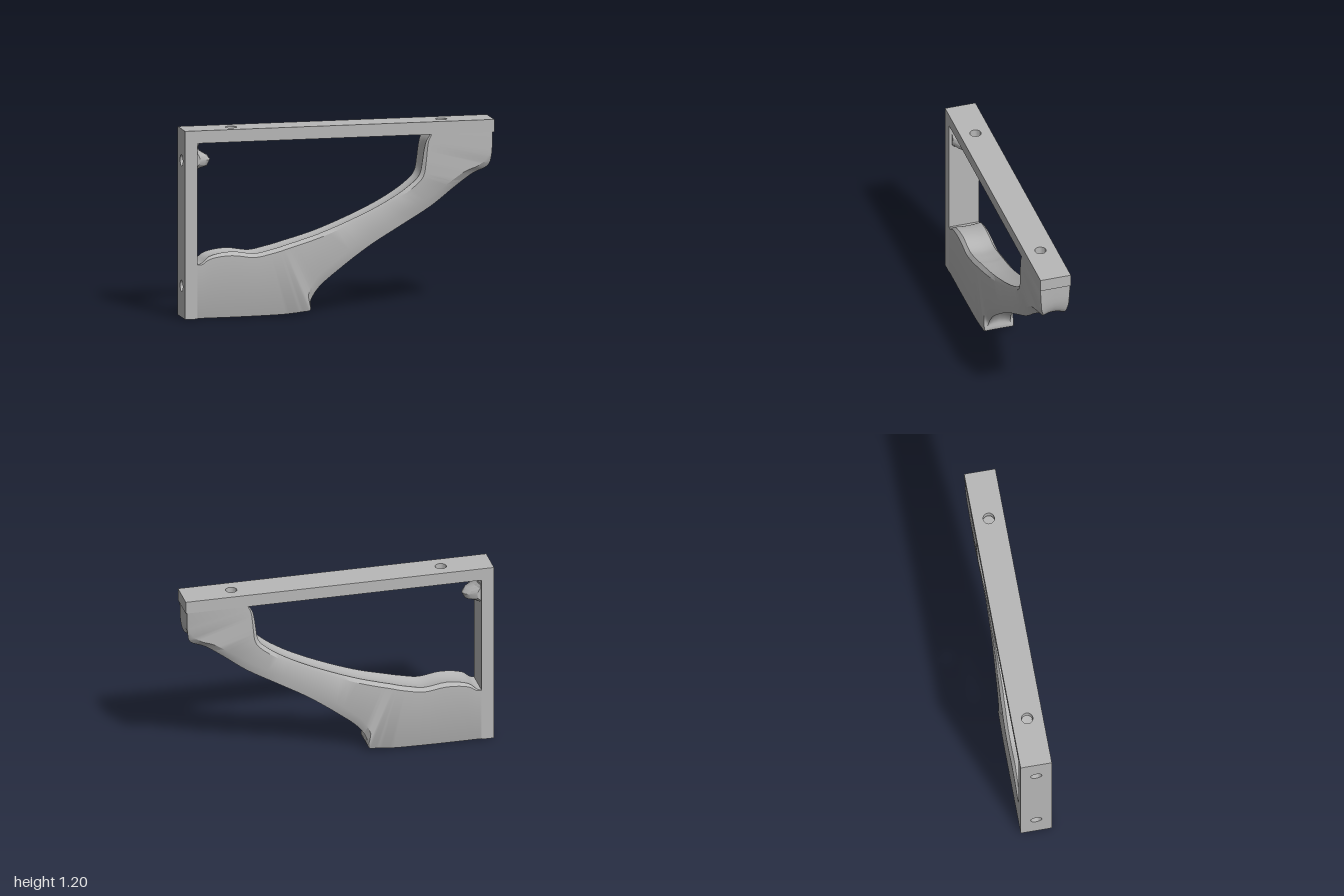
import * as THREE from 'three';
import { toCreasedNormals } from 'three/addons/utils/BufferGeometryUtils.js';

const W = 0.1; // half thickness of the bracket

// Plate of the given outline with round holes, extruded along +z
function plate(x0, x1, holes, r, depth) {
  const s = new THREE.Shape();
  s.moveTo(x0, -W).lineTo(x1, -W).lineTo(x1, W).lineTo(x0, W).closePath();
  for (const h of holes) s.holes.push(new THREE.Path().absarc(h, 0, r, 0, Math.PI * 2, true));
  return toCreasedNormals(
    new THREE.ExtrudeGeometry(s, { depth, bevelEnabled: false, curveSegments: 14 }), 0.6);
}

// Bar 0.08 thick with countersunk screw holes; its outer face is at z = 0.08
function drilledBar(name, x0, x1, holes, mat, matOpen) {
  const g = new THREE.Group();
  g.name = name;
  const inner = new THREE.Mesh(plate(x0, x1, holes, 0.062, 0.03), mat);
  const outer = new THREE.Mesh(plate(x0, x1, holes, 0.036, 0.05), mat);
  inner.name = 'innerLayer';
  outer.name = 'outerLayer';
  outer.position.z = 0.03;
  g.add(inner, outer);
  for (const h of holes) {
    const sink = new THREE.Mesh(new THREE.CylinderGeometry(0.036, 0.062, 0.03, 28, 1, true), matOpen);
    sink.name = 'countersink';
    sink.rotation.x = Math.PI / 2;
    sink.position.set(h, 0, 0.015);
    g.add(sink);
  }
  return g;
}

// Strut stations: top x, y; bottom x, y; half width; edge shaping below; edge shaping above
const STATIONS = [
  [-0.92, 0.345, -0.92, 0.004, 0.1, 0, 0],
  [-0.89, 0.355, -0.89, 0.004, 0.1, 0, 0.3],
  [-0.84, 0.395, -0.84, 0.004, 0.1, 0, 0.6],
  [-0.7, 0.42, -0.7, 0.004, 0.1, 0, 0.8],
  [-0.55, 0.402, -0.5, 0.006, 0.1, 0, 0.8],
  [-0.45, 0.42, -0.35, 0.01, 0.1, 0, 0.8],
  [-0.38, 0.437, -0.25, 0.019, 0.098, 0, 0.8],
  [-0.36, 0.443, -0.187, 0.03, 0.097, 0.05, 0.8],
  [-0.34, 0.449, -0.183, 0.08, 0.096, 0.8, 0.8],
  [-0.27, 0.468, -0.13, 0.165, 0.094, 1, 0.8],
  [-0.13, 0.51, 0, 0.275, 0.087, 1, 0.8],
  [0.1, 0.6, 0.2, 0.42, 0.078, 1, 0.8],
  [0.3, 0.695, 0.4, 0.54, 0.077, 1, 0.8],
  [0.45, 0.79, 0.6, 0.66, 0.087, 1, 0.8],
  [0.52, 0.86, 0.75, 0.775, 0.095, 1, 0.8],
  [0.54, 0.95, 0.87, 0.86, 0.098, 1, 0.7],
  [0.55, 1.02, 0.965, 0.905, 0.098, 0.9, 0.6],
  [0.565, 1.08, 0.985, 0.97, 0.098, 0.3, 0.4],
  [0.59, 1.12, 0.99, 1.12, 0.098, 0, 0.2],
];

// Loft of chamfered sections with shallow grooves along the upper and lower edges
function strutGeometry() {
  const curve = (i) => new THREE.CatmullRomCurve3(
    STATIONS.map((s) => new THREE.Vector3(s[i], s[i + 1], 0)));
  const top = curve(0), bottom = curve(2);
  const n = (STATIONS.length - 1) * 4, rings = [];
  for (let i = 0; i <= n; i++) {
    const t = i / n, k = Math.min(Math.floor(i / 4), STATIONS.length - 2), f = i / 4 - k;
    const mix = (c) => THREE.MathUtils.lerp(STATIONS[k][c], STATIONS[k + 1][c], f);
    const T = top.getPoint(t), B = bottom.getPoint(t);
    const up = T.clone().sub(B), len = up.length();
    up.normalize();
    const w = mix(4), kb = Math.max(mix(5), 0.03), kt = Math.max(mix(6), 0.03);
    const eb = w - Math.min(0.03, w - 0.066) * kb, et = w - Math.min(0.025, w - 0.066) * kt;
    const ring = [];
    const edge = (e, s, groove, dir) => {
      for (let j = -2; j <= 2; j++)
        ring.push([dir * e * j / 2, s + dir * groove * (1 - j * j / 4)]);
    };
    edge(eb, 0, 0.02 * kb, 1);
    ring.push([w, 0.06 * kb], [w, len - 0.03 * kt]);
    edge(et, len, 0.015 * kt, -1);
    ring.push([-w, len - 0.03 * kt], [-w, 0.06 * kb]);
    rings.push(ring.map(([z, s]) => [B.x + up.x * s, B.y + up.y * s, z]));
  }
  const m = rings[0].length, pos = rings.flat(2), idx = [];
  for (let i = 0; i < n; i++)
    for (let j = 0; j < m; j++) {
      const a = i * m + j, b = i * m + (j + 1) % m;
      idx.push(a, a + m, b, b, a + m, b + m);
    }
  // End caps
  for (let j = 1; j < m - 1; j++) {
    idx.push(0, j, j + 1);
    idx.push(n * m, n * m + j + 1, n * m + j);
  }
  const g = new THREE.BufferGeometry();
  g.setAttribute('position', new THREE.Float32BufferAttribute(pos, 3));
  g.setIndex(idx);
  return toCreasedNormals(g, 0.55);
}

// Rough lump around the upper screw hole, tapering towards both sides
function lumpGeometry() {
  const pts = [[-0.93, 1.125], [-0.93, 0.93], [-0.905, 0.94], [-0.88, 0.95], [-0.835, 0.962],
    [-0.815, 1], [-0.835, 1.03], [-0.885, 1.06], [-0.902, 1.085], [-0.885, 1.125]];
  const g = new THREE.ExtrudeGeometry(new THREE.Shape(pts.map((p) => new THREE.Vector2(...p))),
    { depth: 0.16, steps: 6, bevelEnabled: false });
  const p = g.attributes.position;
  for (let i = 0; i < p.count; i++) {
    const z = p.getZ(i) - 0.08, k = 1 - 0.75 * (z / 0.08) ** 2;
    p.setXYZ(i, -0.925 + (p.getX(i) + 0.925) * k, 1.03 + (p.getY(i) - 1.03) * (0.6 + 0.4 * k), z);
  }
  return toCreasedNormals(g, 0.5);
}

export function createModel() {
  const model = new THREE.Group();
  model.name = 'shelfBracket';
  const grey = new THREE.MeshStandardMaterial({ color: 0xb8b8b8 });
  grey.name = 'grey';
  const greyOpen = grey.clone();
  greyOpen.side = THREE.DoubleSide;

  // Shelf bar on top, outer face up
  const shelf = drilledBar('shelfBar', -1, 1, [-0.68, 0.68], grey, greyOpen);
  shelf.rotation.x = -Math.PI / 2;
  shelf.position.y = 1.12;

  // Wall bar at the left, outer face towards -x
  const wall = drilledBar('wallBar', 0, 1.12, [0.2, 1.0], grey, greyOpen);
  wall.matrixAutoUpdate = true;
  wall.quaternion.setFromRotationMatrix(new THREE.Matrix4().makeBasis(
    new THREE.Vector3(0, 1, 0), new THREE.Vector3(0, 0, -1), new THREE.Vector3(-1, 0, 0)));
  wall.position.x = -0.92;

  const strut = new THREE.Mesh(strutGeometry(), grey);
  strut.name = 'strut';
  const lump = new THREE.Mesh(lumpGeometry(), grey);
  lump.name = 'cornerLump';

  model.add(shelf, wall, strut, lump);
  return model;
}
